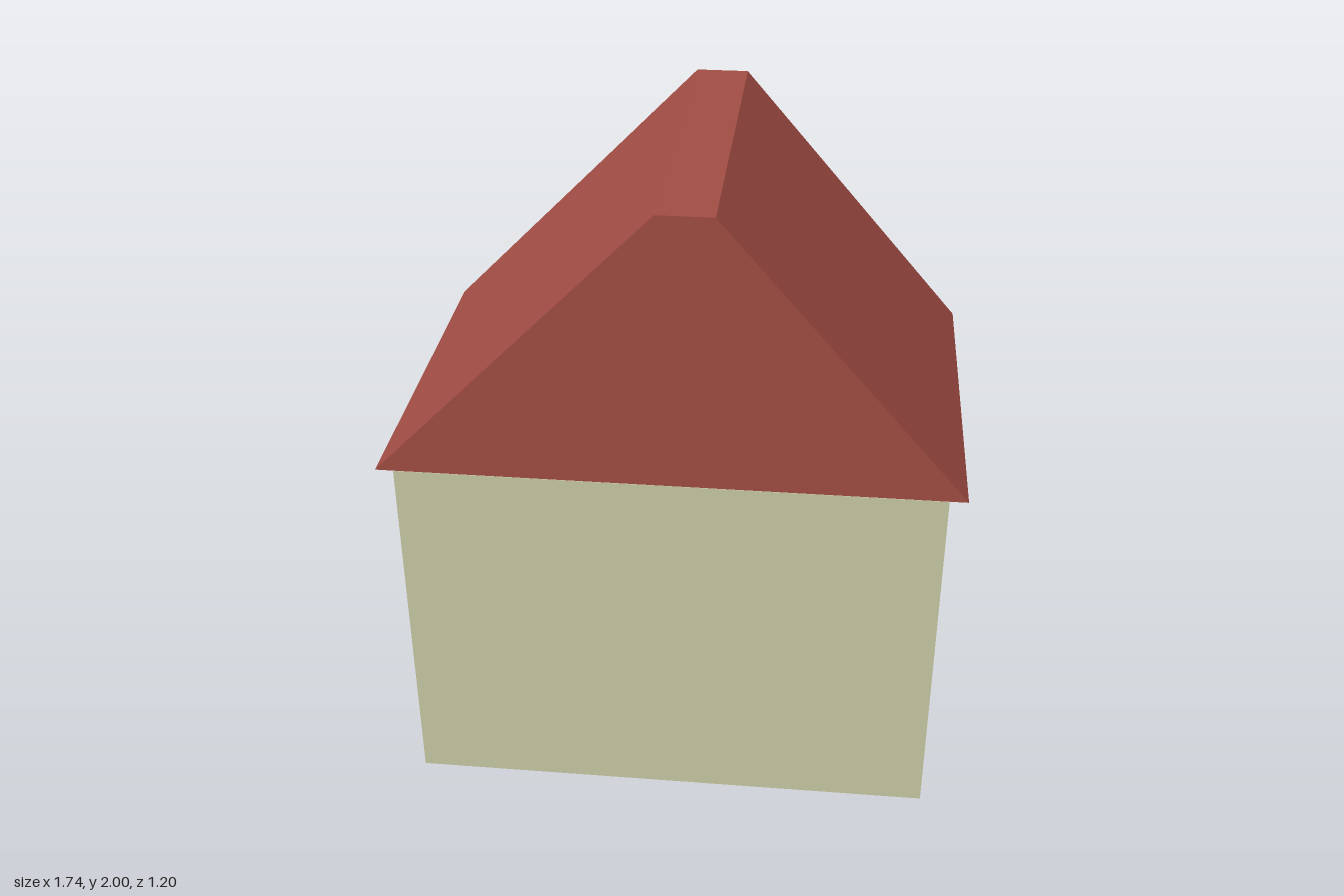
import * as THREE from 'three';

const material = (color) => new THREE.MeshStandardMaterial({ color });

function addMesh(parent, name, geometry, mat) {
  const mesh = new THREE.Mesh(geometry, mat);
  mesh.name = name;
  parent.add(mesh);
  return mesh;
}

const extrude = (shape, depth) => new THREE.ExtrudeGeometry(shape, { depth, bevelEnabled: false });

function rectangle(PathType, width, height) {
  const w = width / 2, h = height / 2;
  return new PathType([[-w, -h], [w, -h], [w, h], [-w, h]].map(([x, y]) => new THREE.Vector2(x, y)));
}

export function createModel() {
  const house = new THREE.Group();
  house.name = 'house';
  const wallTop = 1.15, wallHalf = 0.815, depth = 1.2;

  // Walls: one plain block
  addMesh(house, 'walls', new THREE.BoxGeometry(wallHalf * 2, wallTop, depth + 0.004), material(0xc9c9a5))
    .position.y = wallTop / 2;

  // Roof: off-centre trapezoid with a flat ridge, overhanging the side walls
  const profile = new THREE.Shape(
    [[-0.87, wallTop], [0.87, wallTop], [0.135, 2], [-0.03, 2]].map(([x, y]) => new THREE.Vector2(x, y)));
  addMesh(house, 'roof', extrude(profile, depth), material(0xa04c43)).position.z = -depth / 2;

  // Window on the right wall: a raised frame around a slightly recessed pane
  const sideWindow = new THREE.Group();
  sideWindow.name = 'window';
  const frame = rectangle(THREE.Shape, 0.65, 0.44);
  frame.holes.push(rectangle(THREE.Path, 0.54, 0.37));
  addMesh(sideWindow, 'windowFrame', extrude(frame, 0.015), material(0x8f6b4a));
  addMesh(sideWindow, 'windowPane', new THREE.BoxGeometry(0.54, 0.37, 0.008), material(0x6796a8))
    .position.z = 0.004;
  sideWindow.position.set(-wallHalf, 0.505, -0.03);
  sideWindow.rotation.y = -Math.PI / 2;
  house.add(sideWindow);

  return house;
}
